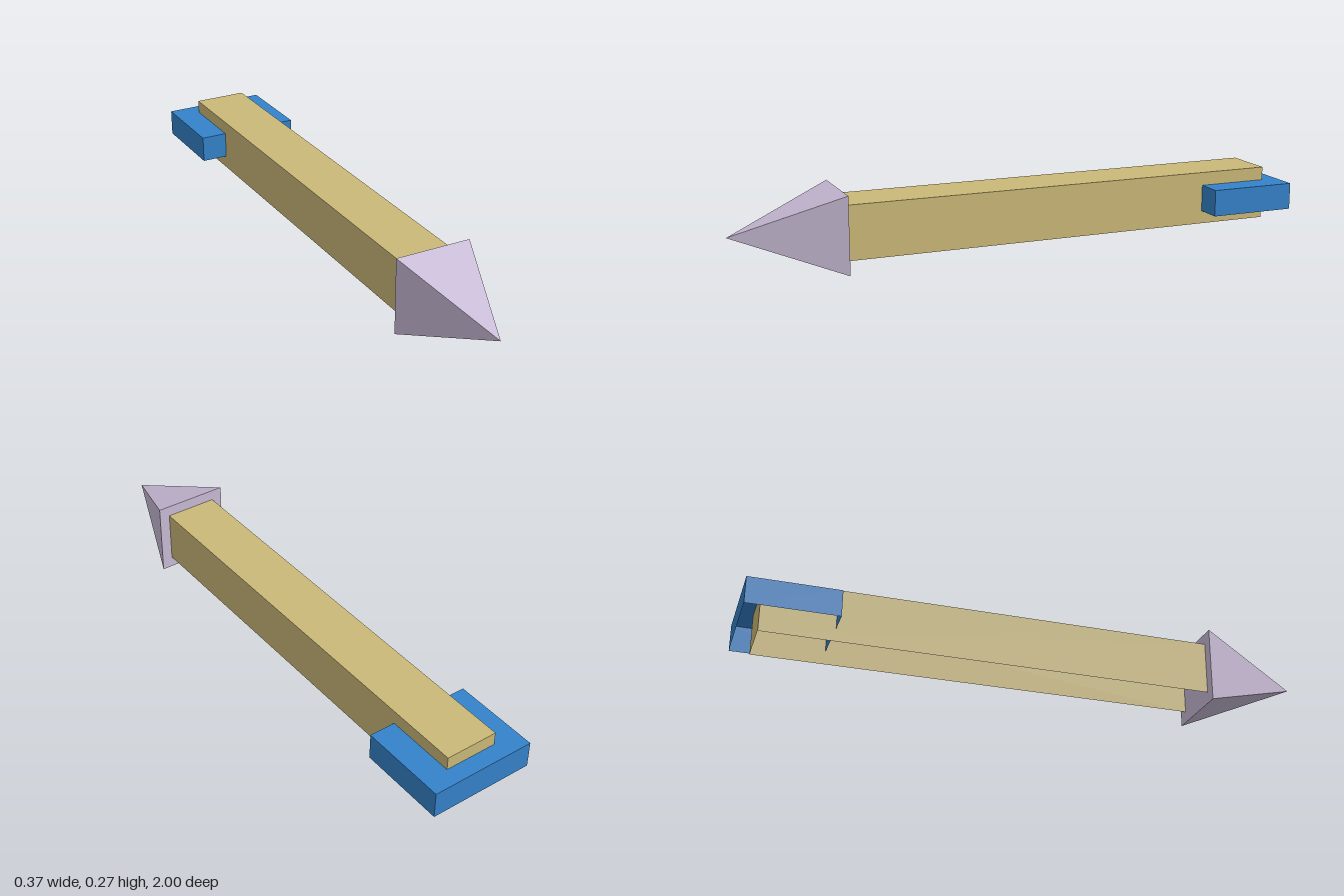
import * as THREE from 'three';

const material = (name, color) => {
  const m = new THREE.MeshStandardMaterial({ color, side: THREE.DoubleSide });
  m.name = name;
  return m;
};

// Box between two corners, leaving out the listed sides
// (0 +x, 1 -x, 2 +y, 3 -y, 4 +z, 5 -z)
function openBox(min, max, openSides) {
  const size = max.map((v, i) => v - min[i]);
  const geometry = new THREE.BoxGeometry(...size);
  const index = Array.from(geometry.index.array);
  geometry.setIndex(index.filter((_, i) => !openSides.includes(Math.floor(i / 6))));
  geometry.clearGroups();
  geometry.translate(...max.map((v, i) => (v + min[i]) / 2));
  return geometry;
}

export function createModel() {
  const model = new THREE.Group();
  const add = (name, geometry, mat) => {
    const mesh = new THREE.Mesh(geometry, mat);
    mesh.name = name;
    model.add(mesh);
  };

  const wood = material('tan wood', 0xcbb978);
  const blue = material('blue', 0x3482ca);
  const stone = material('pale lavender', 0xc9bbd6);

  // Square shaft, open underneath and where it meets the head
  add('shaft', openBox([-0.094, 0.04, -0.94], [0.094, 0.227, 0.63], [3, 4]), wood);

  // Flat tail block, open underneath
  add('tail', openBox([-0.187, 0.086, -1], [0.187, 0.18, -0.69], [3]), blue);

  // Four-sided pointed head facing forward
  const indexedHead = new THREE.ConeGeometry(0.133 * Math.SQRT2, 0.37, 4, 1);
  const head = indexedHead.toNonIndexed();
  head.rotateY(Math.PI / 4);
  head.rotateX(Math.PI / 2);
  head.translate(0, 0.133, 0.815);
  head.computeVertexNormals();
  add('head', head, stone);

  return model;
}
